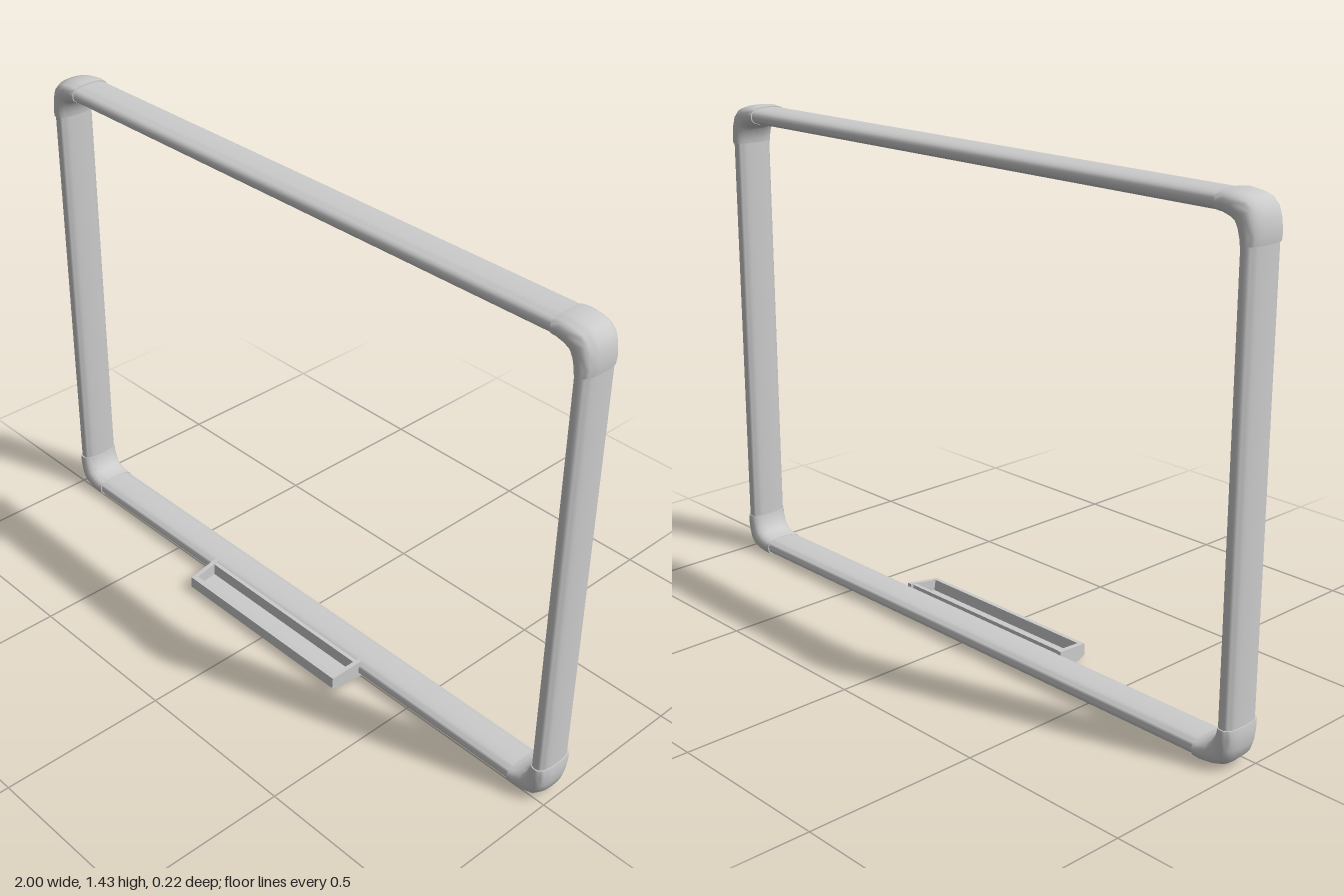
import * as THREE from 'three';
import { toCreasedNormals } from 'three/addons/utils/BufferGeometryUtils.js';

const W = 1, H = 1.432, ZC = -0.045, SIDES = 24;
const mat = new THREE.MeshStandardMaterial({ color: 0xcccccc, side: THREE.DoubleSide });

function add(group, name, geometry) {
  const mesh = new THREE.Mesh(geometry, mat);
  mesh.name = name;
  group.add(mesh);
  return mesh;
}

// Loft a rounded section through stations [outerX, outerY, innerX, innerY], running clockwise
function loft(stations, halfDepth) {
  const pos = [], idx = [];
  const soft = (v) => Math.sign(v) * Math.pow(Math.abs(v), 0.75);
  for (const [ox, oy, ix, iy] of stations) {
    const mx = (ox + ix) / 2, my = (oy + iy) / 2;
    for (let i = 0; i < SIDES; i++) {
      const t = (i / SIDES) * Math.PI * 2;
      const c = soft(Math.cos(t)), s = soft(Math.sin(t));
      pos.push(mx + (ox - mx) * c, my + (oy - my) * c, ZC + halfDepth * s);
    }
  }
  const last = (stations.length - 1) * SIDES;
  for (let j = 0; j < last; j += SIDES) {
    for (let i = 0; i < SIDES; i++) {
      const k = (i + 1) % SIDES;
      idx.push(j + i, j + k, j + SIDES + i, j + k, j + SIDES + k, j + SIDES + i);
    }
  }
  // end caps
  for (let i = 1; i < SIDES - 1; i++) {
    idx.push(0, i + 1, i, last, last + i, last + i + 1);
  }
  const g = new THREE.BufferGeometry();
  g.setAttribute('position', new THREE.Float32BufferAttribute(pos, 3));
  g.setIndex(idx);
  return toCreasedNormals(g, 0.9);
}

// Corner bend, measured from the outer corner point
const BEND = [
  [-0.118, -0.003, -0.118, -0.056],
  [-0.095, 0, -0.105, -0.058],
  [-0.06, -0.004, -0.085, -0.065],
  [-0.032, -0.012, -0.072, -0.074],
  [-0.012, -0.032, -0.074, -0.072],
  [-0.004, -0.06, -0.065, -0.085],
  [0, -0.095, -0.058, -0.105],
  [-0.003, -0.118, -0.056, -0.118],
];

function corner(sx, sy) {
  const cy = sy > 0 ? H : 0;
  const st = BEND.map(([a, b, c, d]) => [sx * (W + a), cy + sy * b, sx * (W + c), cy + sy * d]);
  if (sx * sy < 0) st.reverse();
  return loft(st, 0.0625);
}

export function createModel() {
  const model = new THREE.Group();
  model.name = 'boardFrame';

  // Four rails
  const o = 0.006, n = 0.055, e = 0.1, d = 0.059;
  add(model, 'topRail', loft([[-W + e, H - o, -W + e, H - n], [W - e, H - o, W - e, H - n]], d));
  add(model, 'bottomRail', loft([[W - e, o, W - e, n], [-W + e, o, -W + e, n]], d));
  add(model, 'leftRail', loft([[W - o, H - e, W - n, H - e], [W - o, e, W - n, e]], d));
  add(model, 'rightRail', loft([[-W + o, e, -W + n, e], [-W + o, H - e, -W + n, H - e]], d));

  // Four corner caps
  for (const sx of [-1, 1]) for (const sy of [-1, 1]) {
    add(model, `${sy > 0 ? 'top' : 'bottom'}${sx > 0 ? 'Left' : 'Right'}Corner`, corner(sx, sy));
  }

  // Open pen tray on the bottom rail
  const tray = new THREE.Group();
  tray.name = 'penTray';
  model.add(tray);

  // profile in (z, y), extruded along x; drawn with -z as shape x so the turn keeps it upright
  const slab = (points, width) => {
    const shape = new THREE.Shape(points.map(([z, y]) => new THREE.Vector2(-z, y)));
    const g = new THREE.ExtrudeGeometry(shape, { depth: width, bevelEnabled: false });
    g.translate(0, 0, -width / 2);
    g.rotateY(Math.PI / 2);
    return g;
  };
  // narrow towards the front
  const taper = (g) => {
    const p = g.attributes.position;
    for (let i = 0; i < p.count; i++) p.setX(i, p.getX(i) * (1 - 0.35 * Math.max(0, p.getZ(i) - 0.01)));
    g.computeVertexNormals();
    return g;
  };
  add(tray, 'trayFloor', taper(slab([[0.0, 0.006], [0.085, 0.006], [0.1, 0.018], [0.0, 0.018]], 0.635)));
  add(tray, 'trayFrontLip', taper(slab([[0.085, 0.006], [0.108, 0.014], [0.106, 0.048], [0.09, 0.05], [0.085, 0.015]], 0.64)));
  const wall = [[0.0, 0.006], [0.085, 0.006], [0.108, 0.014], [0.106, 0.048], [0.0, 0.06]];
  for (const s of [-1, 1]) {
    const g = slab(wall, 0.014);
    g.translate(s * 0.314, 0, 0);
    add(tray, s > 0 ? 'trayLeftWall' : 'trayRightWall', taper(g));
  }
  // thin strip against the rail
  add(tray, 'trayBackStrip', slab([[0.008, 0.01], [0.02, 0.01], [0.02, 0.056], [0.008, 0.056]], 0.62));
  return model;
}
